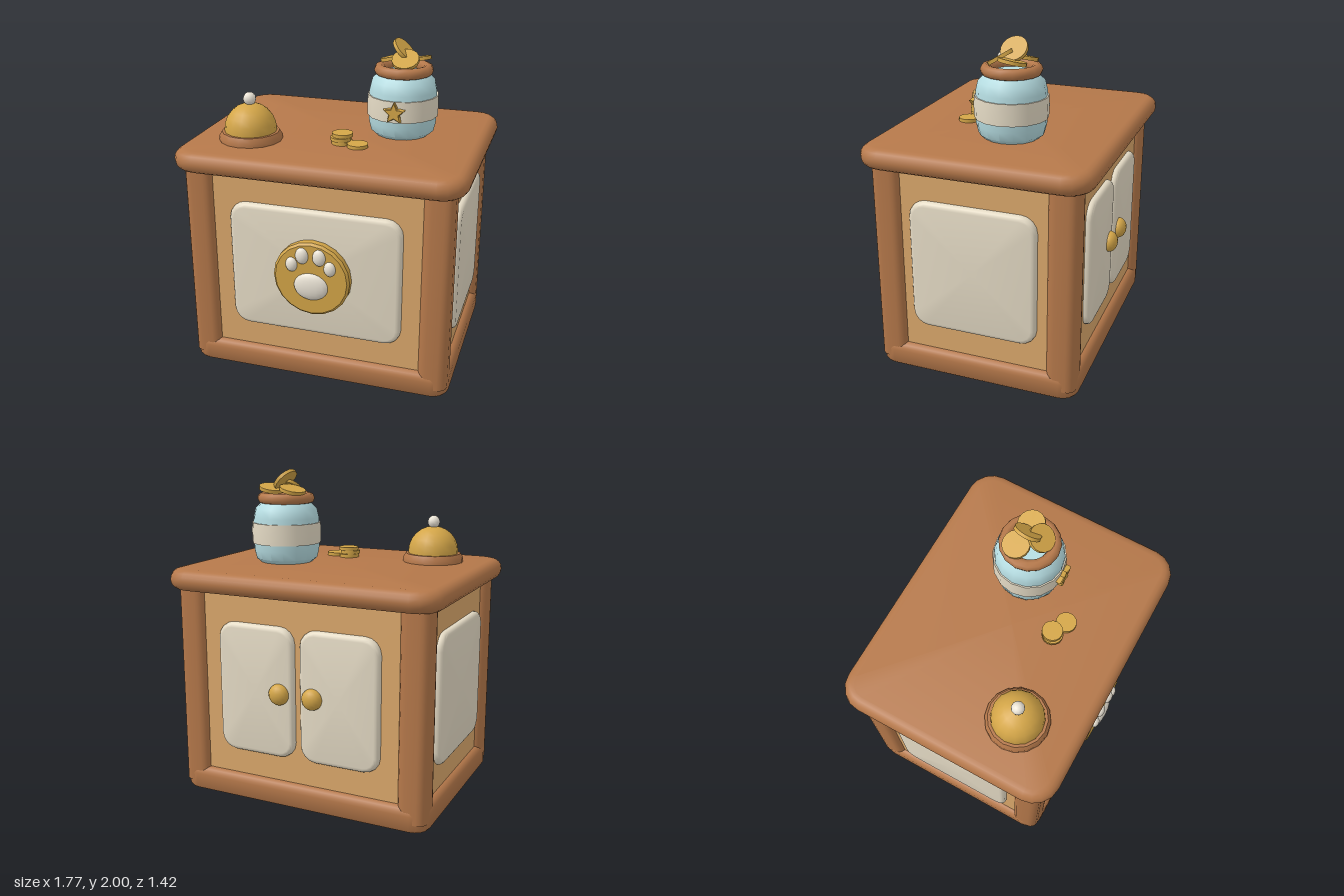
import * as THREE from 'three';
import { toCreasedNormals } from 'three/addons/utils/BufferGeometryUtils.js';

const mat = (color) => new THREE.MeshStandardMaterial({ color });
const WOOD = mat(0xb5784a), TAN = mat(0xdca96c), CREAM = mat(0xe6dcc6);
const GOLD = mat(0xd4a648), GLASS = mat(0xb6dde2), IVORY = mat(0xebe4d6);

function add(parent, name, geometry, material, x = 0, y = 0, z = 0) {
  const mesh = new THREE.Mesh(geometry, material);
  mesh.name = name;
  mesh.position.set(x, y, z);
  parent.add(mesh);
  return mesh;
}

// Rounded-rectangle slab lofted through [inset, y] rings, closed at both ends
function slab(w, d, radius, profile, steps = 4) {
  const pos = [], idx = [], n = 4 * (steps + 1);
  for (const [inset, y] of profile) {
    const r = Math.max(radius - inset, 0.002);
    for (let q = 0; q < 4; q++) {
      const sx = q === 0 || q === 3 ? 1 : -1, sz = q < 2 ? 1 : -1;
      for (let s = 0; s <= steps; s++) {
        const a = (q + s / steps) * Math.PI / 2;
        pos.push(sx * (w / 2 - inset - r) + r * Math.cos(a), y, sz * (d / 2 - inset - r) + r * Math.sin(a));
      }
    }
  }
  const last = (profile.length - 1) * n, bottom = profile.length * n, top = bottom + 1;
  pos.push(0, profile[0][1], 0, 0, profile[profile.length - 1][1], 0);
  for (let j = 0; j < n; j++) {
    const k = (j + 1) % n;
    for (let b = 0; b < last; b += n) idx.push(b + j, b + n + j, b + k, b + k, b + n + j, b + n + k);
    idx.push(bottom, j, k, top, last + k, last + j);
  }
  const g = new THREE.BufferGeometry();
  g.setAttribute('position', new THREE.Float32BufferAttribute(pos, 3));
  g.setIndex(idx);
  return toCreasedNormals(g, 0.7);
}

// Quarter-round edge of radius e ending at height y
const roundTop = (y, e) => [0, 1, 2, 3, 4].map((i) => {
  const a = i * Math.PI / 8;
  return [e * (1 - Math.cos(a)), y - e + e * Math.sin(a)];
});

const lathe = (points, sides = 16, crease = 0.7) =>
  toCreasedNormals(new THREE.LatheGeometry(points.map(([x, y]) => new THREE.Vector2(x, y)), sides), crease);

const ellipsoid = (rx, ry, rz) => new THREE.SphereGeometry(1, 16, 12).scale(rx, ry, rz);

const coin = (r, h) => toCreasedNormals(new THREE.CylinderGeometry(r, r, h, 16), 0.7);

function starGeometry(outer, inner, depth) {
  const shape = new THREE.Shape();
  for (let i = 0; i < 10; i++) {
    const r = i % 2 ? inner : outer, a = Math.PI / 2 + i * Math.PI / 5;
    shape[i ? 'lineTo' : 'moveTo'](r * Math.cos(a), r * Math.sin(a));
  }
  shape.closePath();
  return new THREE.ExtrudeGeometry(shape, {
    depth, bevelEnabled: true, bevelThickness: 0.006, bevelSize: 0.005, bevelSegments: 1,
  });
}

function buildCabinet() {
  const g = new THREE.Group();
  g.name = 'cabinet';
  add(g, 'base', slab(1.645, 1.265, 0.1, [[0.012, 0], [0, 0.015], ...roundTop(0.15, 0.05)]), WOOD);
  add(g, 'body', new THREE.BoxGeometry(1.56, 1.19, 1.18).translate(0, 0.705, 0), TAN);
  for (const sx of [-1, 1]) for (const sz of [-1, 1]) {
    add(g, 'cornerPost', slab(0.18, 0.18, 0.055, [[0, 0.05], [0, 1.31]]), WOOD, sx * 0.728, 0, sz * 0.538);
  }
  const topEdge = roundTop(0.065, 0.065);
  const lower = topEdge.slice(1).reverse().map(([i, y]) => [i, -y]);
  add(g, 'countertop', slab(1.77, 1.41, 0.16, [...lower, ...topEdge]), WOOD, 0, 1.355, 0);

  // Raised panels on the front and sides, two doors on the back
  const panel = (name, w, x, z, turn) => {
    const geo = slab(w, 0.81, 0.1, [[0, -0.02], ...roundTop(0.04, 0.03)]).rotateX(Math.PI / 2);
    add(g, name, geo, CREAM, x, 0.715, z).rotation.y = turn;
  };
  panel('frontPanel', 1.06, 0, 0.588, 0);
  for (const s of [-1, 1]) {
    panel('sidePanel', 0.78, s * 0.778, 0, s * Math.PI / 2);
    panel('backDoor', 0.51, s * 0.275, -0.588, Math.PI);
    add(g, 'doorKnob', ellipsoid(0.065, 0.065, 0.05), GOLD, s * 0.11, 0.715, -0.632);
  }
  return g;
}

function buildMedallion() {
  const g = new THREE.Group();
  g.name = 'pawMedallion';
  g.position.set(0, 0.71, 0.62);
  const disc = lathe([[0, 0], [0.225, 0], [0.236, 0.012], [0.236, 0.05], [0.222, 0.064], [0, 0.064]], 20);
  add(g, 'medallionDisc', disc.rotateX(Math.PI / 2), GOLD);
  add(g, 'pawPad', ellipsoid(0.108, 0.088, 0.035), IVORY, 0, -0.045, 0.06);
  for (const s of [-1, 1]) {
    add(g, 'outerToe', ellipsoid(0.037, 0.047, 0.03), IVORY, s * 0.118, 0.087, 0.06);
    add(g, 'innerToe', ellipsoid(0.041, 0.053, 0.03), IVORY, s * 0.053, 0.15, 0.06);
  }
  return g;
}

function buildBell() {
  const g = new THREE.Group();
  g.name = 'serviceBell';
  g.position.set(-0.5, 1.42, 0.315);
  add(g, 'bellBase', lathe([[0, 0], [0.192, 0], [0.192, 0.025], [0.175, 0.053], [0, 0.053]]), WOOD);
  const dome = [[0.158, 0.04]];
  for (let i = 0; i <= 6; i++) {
    const a = i * Math.PI / 12;
    dome.push([0.158 * Math.cos(a), 0.065 + 0.158 * Math.sin(a)]);
  }
  add(g, 'bellDome', lathe(dome), GOLD);
  add(g, 'bellButton', new THREE.SphereGeometry(0.04, 10, 8), IVORY, 0, 0.25, 0);
  return g;
}

function buildJar() {
  const g = new THREE.Group();
  g.name = 'coinJar';
  g.position.set(0.352, 1.42, -0.075);
  add(g, 'jarBody', lathe([[0, 0], [0.165, 0], [0.195, 0.025], [0.208, 0.08], [0.213, 0.18],
    [0.208, 0.28], [0.195, 0.335], [0.165, 0.365], [0.15, 0.385], [0, 0.385]]), GLASS);
  add(g, 'jarBand', lathe([[0.2, 0.12], [0.218, 0.12], [0.221, 0.185], [0.218, 0.25], [0.2, 0.25]]), CREAM);
  add(g, 'jarRim', new THREE.TorusGeometry(0.147, 0.035, 8, 16).rotateX(Math.PI / 2), WOOD, 0, 0.4, 0);
  add(g, 'jarStar', starGeometry(0.062, 0.028, 0.025), GOLD, 0, 0.185, 0.213);

  // Loose coins: position followed by facing direction
  const loose = [
    [-0.075, 0.455, -0.05, -0.25, 1, -0.1],
    [0.078, 0.46, -0.035, -0.2, 1, -0.15],
    [0.022, 0.47, 0.06, 0, 0.85, 0.52],
    [-0.005, 0.515, -0.015, 0.72, 0.7, 0.1],
  ];
  for (const [x, y, z, nx, ny, nz] of loose) {
    add(g, 'jarCoin', coin(0.083, 0.022), GOLD, x, y, z).quaternion.setFromUnitVectors(
      new THREE.Vector3(0, 1, 0), new THREE.Vector3(nx, ny, nz).normalize());
  }
  return g;
}

export function createModel() {
  const model = new THREE.Group();
  model.name = 'shopCounter';
  model.add(buildCabinet(), buildMedallion(), buildBell(), buildJar());

  // Coins lying on the countertop
  [[0.058, 0.242], [0.052, 0.248], [0.06, 0.24]].forEach(([x, z], i) =>
    add(model, 'stackedCoin', coin(0.063, 0.021), GOLD, x, 1.431 + i * 0.023, z));
  add(model, 'looseCoin', coin(0.063, 0.021), GOLD, 0.165, 1.431, 0.28);
  return model;
}
